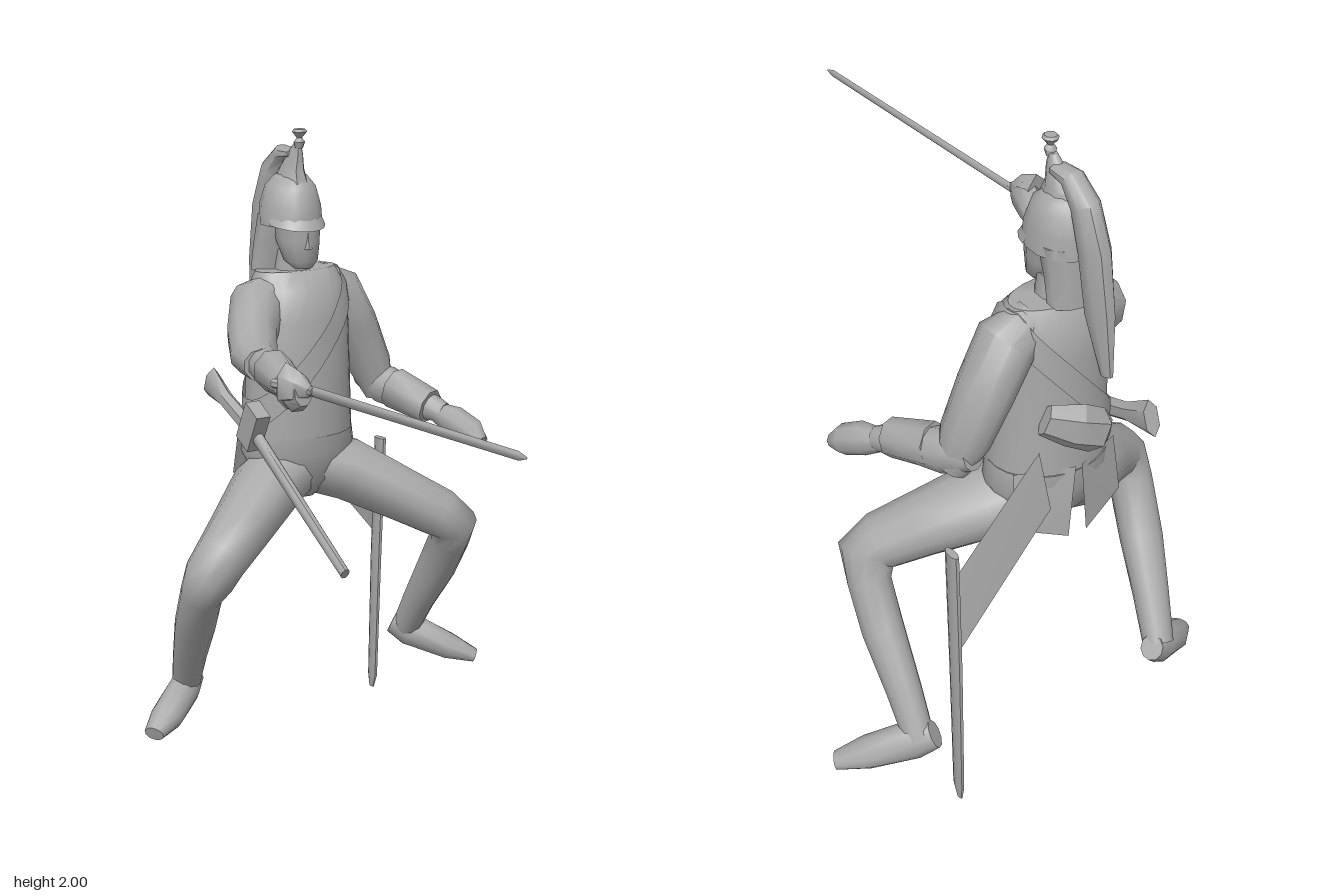
import * as THREE from 'three';
import { toCreasedNormals } from 'three/addons/utils/BufferGeometryUtils.js';

const grey = new THREE.MeshStandardMaterial({ color: 0xa8a8a8, side: THREE.DoubleSide });
grey.name = 'grey';

const V = (x, y, z) => new THREE.Vector3(x, y, z);
const X = V(1, 0, 0), Y = V(0, 1, 0), Z = V(0, 0, 1);

export function createModel() {
  const model = new THREE.Group();

  function add(name, geometry, crease = 0.9) {
    const mesh = new THREE.Mesh(toCreasedNormals(geometry, crease), grey);
    mesh.name = name;
    model.add(mesh);
    return mesh;
  }

  function surface(points, index) {
    const g = new THREE.BufferGeometry();
    g.setAttribute('position', new THREE.Float32BufferAttribute(points.flatMap(p => p.toArray()), 3));
    g.setIndex(index);
    return g;
  }

  // Closed skin over elliptical rings [x, y, z, width radius, depth radius].
  // With ref the rings follow the path; without it they stay horizontal (listed upwards).
  function loft(name, rings, ref = null, sides = 10, crease = 0.9) {
    const centres = rings.map(r => V(r[0], r[1], r[2]));
    const points = [], index = [], n = rings.length;
    rings.forEach((r, i) => {
      const t = centres[Math.min(i + 1, n - 1)].clone().sub(centres[Math.max(i - 1, 0)]).normalize();
      const u = ref ? ref.clone().cross(t).normalize() : X.clone();
      const v = ref ? t.clone().cross(u) : Z.clone().negate();
      for (let j = 0; j < sides; j++) {
        const a = (j + 0.5) / sides * Math.PI * 2;
        points.push(centres[i].clone().addScaledVector(u, r[3] * Math.cos(a)).addScaledVector(v, r[4] * Math.sin(a)));
      }
    });
    const first = points.push(centres[0]) - 1, last = points.push(centres[n - 1]) - 1;
    for (let j = 0; j < sides; j++) {
      const k = (j + 1) % sides;
      for (let i = 0; i < n - 1; i++) {
        const a = i * sides + j, b = i * sides + k;
        index.push(a, b, b + sides, a, b + sides, a + sides);
      }
      index.push(first, k, j, last, (n - 1) * sides + j, (n - 1) * sides + k);
    }
    return add(name, surface(points, index), crease);
  }

  // Thin flat quad
  const sheet = (name, ...corners) =>
    add(name, surface(corners.map(c => V(...c)), [0, 1, 2, 0, 2, 3]));

  // Torso and hips
  const torso = [
    [-0.055, 1.03, -0.735, 0.182, 0.148],
    [-0.055, 1.2, -0.73, 0.176, 0.143],
    [-0.055, 1.4, -0.73, 0.173, 0.138],
    [-0.05, 1.5, -0.74, 0.163, 0.12],
    [-0.05, 1.555, -0.745, 0.14, 0.075],
  ];
  loft('torso', torso, null, 24);
  loft('hips', [
    [-0.055, 0.815, -0.73, 0.04, 0.06],
    [-0.055, 0.88, -0.735, 0.15, 0.12],
    [-0.055, 0.97, -0.74, 0.195, 0.143],
    [-0.055, 1.04, -0.738, 0.183, 0.148],
  ], null, 24, 1.2);

  // Baldric from left shoulder to right hip, wrapped round the chest
  const bandPoints = [], bandIndex = [], bandSides = 32;
  for (let i = 0; i <= bandSides; i++) {
    const a = i / bandSides * Math.PI * 2;
    for (const h of [-0.05, 0, 0.05]) {
      const y = THREE.MathUtils.clamp(1.31 + 0.21 * Math.cos(a) + h, 1.04, 1.55);
      let k = 0;
      while (k < torso.length - 2 && y > torso[k + 1][1]) k++;
      const f = (y - torso[k][1]) / (torso[k + 1][1] - torso[k][1]);
      const [cx, , cz, rx, rz] = torso[k].map((v, m) => THREE.MathUtils.lerp(v, torso[k + 1][m], f));
      bandPoints.push(V(cx + (rx + 0.009) * Math.cos(a), y, cz + (rz + 0.009) * Math.sin(a)));
    }
    for (let h = 0; i && h < 2; h++) {
      const p = 3 * i - 3 + h, q = 3 * i + h;
      bandIndex.push(p, p + 1, q + 1, p, q + 1, q);
    }
  }
  add('baldric', surface(bandPoints, bandIndex));

  // Legs: thigh and shin in one skin, bent at the knee
  loft('rightLeg', [
    [-0.07, 0.925, -0.74, 0.1, 0.115], [-0.2, 0.865, -0.69, 0.108, 0.122],
    [-0.36, 0.77, -0.59, 0.095, 0.1], [-0.47, 0.705, -0.525, 0.085, 0.088], [-0.51, 0.665, -0.515, 0.078, 0.092],
    [-0.515, 0.6, -0.56, 0.066, 0.07],
    [-0.487, 0.46, -0.665, 0.066, 0.066], [-0.455, 0.32, -0.77, 0.055, 0.055], [-0.43, 0.2, -0.85, 0.045, 0.05],
  ], Z, 12, 1.2);
  loft('rightFoot', [
    [-0.39, 0.21, -0.87, 0.035, 0.04], [-0.44, 0.18, -0.84, 0.05, 0.06],
    [-0.54, 0.12, -0.78, 0.055, 0.05], [-0.61, 0.09, -0.735, 0.035, 0.025],
  ], Y);
  loft('leftLeg', [
    [-0.04, 0.925, -0.74, 0.1, 0.115], [0.1, 0.88, -0.69, 0.105, 0.125],
    [0.26, 0.785, -0.59, 0.09, 0.1], [0.36, 0.725, -0.53, 0.083, 0.088], [0.4, 0.69, -0.515, 0.078, 0.092],
    [0.415, 0.62, -0.555, 0.064, 0.07],
    [0.422, 0.5, -0.64, 0.062, 0.068], [0.42, 0.35, -0.75, 0.052, 0.055], [0.42, 0.23, -0.83, 0.045, 0.05],
  ], Z, 12, 1.2);
  loft('leftFoot', [
    [0.385, 0.25, -0.86, 0.035, 0.045], [0.43, 0.22, -0.82, 0.05, 0.06],
    [0.54, 0.16, -0.74, 0.055, 0.045], [0.615, 0.125, -0.69, 0.035, 0.022],
  ], Y);

  // Right arm, stretched forward
  loft('rightUpperArm', [
    [-0.12, 1.47, -0.745, 0.08, 0.08], [-0.2, 1.45, -0.73, 0.09, 0.09],
    [-0.27, 1.38, -0.64, 0.08, 0.085], [-0.33, 1.34, -0.52, 0.075, 0.062], [-0.37, 1.34, -0.4, 0.058, 0.052],
  ], Y);
  loft('rightForearm', [
    [-0.34, 1.34, -0.47, 0.05, 0.05], [-0.38, 1.34, -0.34, 0.055, 0.055], [-0.42, 1.33, -0.17, 0.042, 0.04],
  ], Y);
  loft('rightCuff', [
    [-0.38, 1.342, -0.32, 0.062, 0.066], [-0.42, 1.335, -0.16, 0.048, 0.045],
  ], Y, 8);
  loft('rightHand', [
    [-0.42, 1.33, -0.18, 0.032, 0.032], [-0.45, 1.335, -0.1, 0.045, 0.045],
    [-0.47, 1.345, -0.03, 0.045, 0.06], [-0.47, 1.35, 0.01, 0.03, 0.04],
  ], Y, 8);

  // Drawn sword
  loft('swordGrip', [[-0.5, 1.36, -0.11, 0.014, 0.014], [-0.45, 1.355, 0.03, 0.014, 0.014]], Y, 6);
  loft('swordGuard', [
    [-0.485, 1.36, -0.06, 0.045, 0.07], [-0.47, 1.36, -0.01, 0.042, 0.05], [-0.45, 1.355, 0.02, 0.012, 0.015],
  ], Y, 6);
  loft('swordBlade', [
    [-0.45, 1.355, 0, 0.009, 0.016], [-0.37, 1.355, 0.92, 0.007, 0.013], [-0.365, 1.355, 0.95, 0.001, 0.003],
  ], Y, 6);

  // Left arm, hanging with a bent elbow
  loft('leftUpperArm', [
    [0.03, 1.5, -0.76, 0.07, 0.055], [0.11, 1.46, -0.76, 0.085, 0.09],
    [0.18, 1.34, -0.77, 0.08, 0.088], [0.24, 1.2, -0.765, 0.07, 0.08], [0.265, 1.1, -0.745, 0.045, 0.055],
  ], Z);
  loft('leftForearm', [
    [0.24, 1.165, -0.81, 0.045, 0.045], [0.27, 1.135, -0.72, 0.062, 0.066],
    [0.32, 1.095, -0.57, 0.048, 0.052], [0.355, 1.07, -0.5, 0.035, 0.035],
  ], Y);
  loft('leftCuff', [[0.28, 1.13, -0.68, 0.064, 0.068], [0.33, 1.088, -0.54, 0.055, 0.058]], Y, 8);
  loft('leftHand', [
    [0.34, 1.075, -0.53, 0.03, 0.03], [0.37, 1.05, -0.46, 0.045, 0.05],
    [0.4, 1.02, -0.4, 0.045, 0.045], [0.41, 0.995, -0.36, 0.025, 0.022],
  ], Y, 8);

  // Head
  loft('neck', [[-0.06, 1.52, -0.745, 0.065, 0.065], [-0.06, 1.62, -0.74, 0.055, 0.055]]);
  loft('head', [
    [-0.06, 1.565, -0.675, 0.03, 0.025], [-0.06, 1.59, -0.69, 0.055, 0.055],
    [-0.06, 1.65, -0.71, 0.068, 0.08], [-0.06, 1.74, -0.72, 0.075, 0.09],
  ], null, 12);
  loft('nose', [[-0.065, 1.63, -0.636, 0.014, 0.014], [-0.063, 1.69, -0.642, 0.006, 0.008]], null, 5);
  loft('neckHair', [
    [-0.085, 1.55, -0.8, 0.09, 0.05], [-0.08, 1.63, -0.79, 0.09, 0.055], [-0.07, 1.73, -0.77, 0.09, 0.07],
  ]);

  // Helmet with visor, crest, finial and horsehair mane
  loft('helmet', [
    [-0.07, 1.7, -0.735, 0.096, 0.115], [-0.07, 1.76, -0.735, 0.093, 0.11],
    [-0.065, 1.82, -0.74, 0.076, 0.09], [-0.06, 1.85, -0.745, 0.05, 0.06], [-0.06, 1.865, -0.75, 0.02, 0.03],
  ], null, 14, 1);
  const visor = [], visorIndex = [];
  for (let i = 0; i <= 8; i++) {
    const a = Math.PI * (0.08 + 0.84 * i / 8), s = Math.sin(a);
    visor.push(V(-0.07 + 0.094 * Math.cos(a), 1.725, -0.735 + 0.11 * s),
      V(-0.07 + 0.1 * Math.cos(a), 1.71 - 0.02 * s, -0.735 + 0.135 * s));
    if (i) visorIndex.push(2 * i - 2, 2 * i - 1, 2 * i + 1, 2 * i - 2, 2 * i + 1, 2 * i);
  }
  add('visor', surface(visor, visorIndex));
  loft('crest', [
    [-0.065, 1.82, -0.74, 0.05, 0.085], [-0.062, 1.87, -0.735, 0.036, 0.055],
    [-0.06, 1.92, -0.715, 0.022, 0.035], [-0.06, 1.955, -0.7, 0.01, 0.014],
  ], null, 8);
  loft('finial', [
    [-0.06, 1.94, -0.69, 0.012, 0.012], [-0.06, 1.96, -0.688, 0.018, 0.018],
    [-0.06, 1.972, -0.687, 0.008, 0.008], [-0.06, 1.992, -0.686, 0.024, 0.024], [-0.06, 2, -0.686, 0.018, 0.018],
  ], null, 8);
  loft('mane', [
    [-0.06, 1.92, -0.72, 0.015, 0.03], [-0.065, 1.915, -0.78, 0.03, 0.035], [-0.07, 1.86, -0.835, 0.045, 0.04],
    [-0.08, 1.74, -0.87, 0.055, 0.042], [-0.085, 1.56, -0.9, 0.055, 0.036], [-0.09, 1.38, -0.94, 0.025, 0.012],
  ], X, 8);

  // Back pouch, tapered and tilted
  loft('backPouch', [
    [0.05, 1.24, -0.865, 0.03, 0.05], [-0.03, 1.21, -0.895, 0.045, 0.07],
    [-0.1, 1.17, -0.9, 0.045, 0.065], [-0.15, 1.14, -0.86, 0.03, 0.045],
  ], Y, 6, 0.4);

  // Carbine slung at the right hip
  loft('carbineBarrel', [[-0.258, 1.07, -0.68, 0.02, 0.024], [-0.258, 0.735, -0.12, 0.015, 0.02]], Y, 8);
  loft('carbineStock', [
    [-0.258, 1.17, -0.94, 0.026, 0.055], [-0.258, 1.13, -0.84, 0.022, 0.03], [-0.258, 1.06, -0.66, 0.024, 0.032],
  ], Y, 6);
  const lock = add('carbineLock', new THREE.BoxGeometry(0.05, 0.14, 0.08));
  lock.position.set(-0.262, 1.08, -0.66);
  lock.rotation.x = 0.5;

  // Coat tails
  for (const s of [-1, 1]) {
    const x = -0.055;
    sheet('coatTail', [x + s * 0.01, 1.06, -0.89], [x + s * 0.17, 1.05, -0.82],
      [x + s * 0.18, 0.88, -0.85], [x + s * 0.03, 0.83, -0.9]);
  }

  // Scabbard at the left side with its sling cloth
  loft('scabbard', [
    [0.325, 0.005, -0.905, 0.005, 0.012], [0.326, 0.05, -0.9, 0.011, 0.024],
    [0.335, 0.5, -0.885, 0.013, 0.028], [0.345, 0.91, -0.868, 0.013, 0.03],
  ], null, 8);
  sheet('slingCloth', [0.06, 1.13, -0.86], [0.34, 0.8, -0.865], [0.333, 0.575, -0.9], [0.03, 0.94, -0.885]);

  return model;
}
